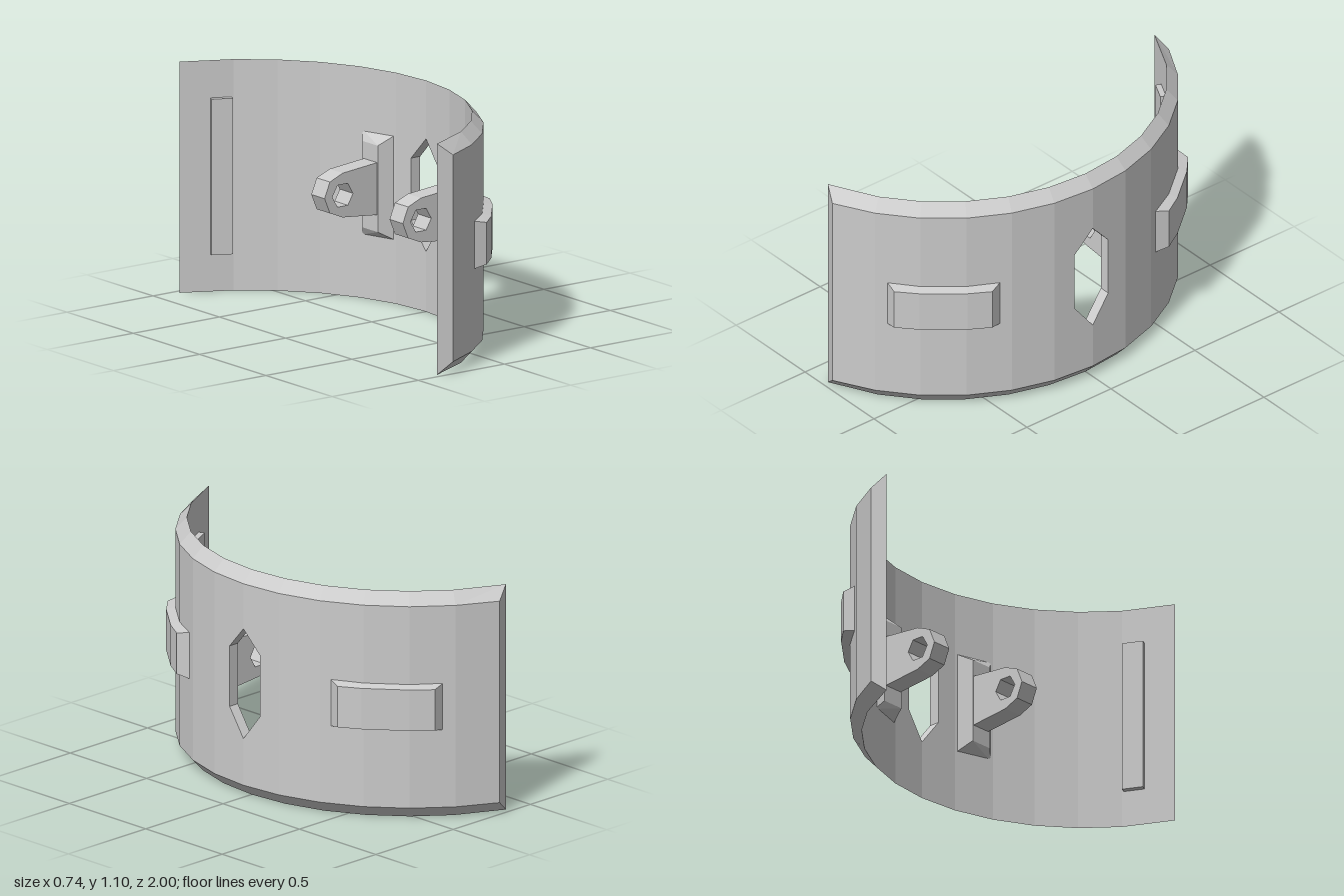
import * as THREE from 'three';
import { ConvexGeometry } from 'three/addons/geometries/ConvexGeometry.js';

const CX = -0.717;                 // centre of the curve in plan
const STEP = 11.23;                // degrees per facet
const H = 1.097, MID = H / 2;
const material = new THREE.MeshStandardMaterial({ color: 0xcccccc, flatShading: true });

const arc = (r, deg, y) => {
  const a = THREE.MathUtils.degToRad(deg);
  return new THREE.Vector3(CX + r * Math.cos(a), y, r * Math.sin(a));
};

// Curved slab with sloped borders: an outer and an inner skin, each {r, angles, y:[bottom, top]}.
// hole lists half of an opening around angle 0, bottom to top, as [z, y].
function curvedPanel(outer, inner, hole) {
  const pos = [];
  const quad = (a, b, c, d, flip = false) => {
    const order = flip ? [a, c, b, a, d, c] : [a, b, c, a, c, d];
    order.forEach(p => pos.push(p.x, p.y, p.z));
  };
  const at = (skin, i, k) => arc(skin.r, skin.angles[i], skin.y[k]);
  const n = outer.angles.length - 1;

  // Facet next to the centre line, cut around half of the opening
  const cutFacet = (i) => {
    const s = outer.angles[i] === 0 ? 1 : -1;
    const near = s > 0 ? i : i + 1, far = s > 0 ? i + 1 : i;
    const rims = [outer, inner].map(skin => {
      const n0 = at(skin, near, 0), n1 = at(skin, near, 1);
      const f0 = at(skin, far, 0), f1 = at(skin, far, 1);
      const rim = hole.map(([z, y]) =>
        new THREE.Vector3(THREE.MathUtils.lerp(n0.x, f0.x, z * s / f0.z), y, z * s));
      const flip = (s > 0) === (skin === outer);
      quad(f0, f1, rim[2], rim[1], flip);
      quad(f1, n1, rim[3], rim[2], flip);
      quad(n0, f0, rim[1], rim[0], flip);
      return rim;
    });
    for (let k = 0; k < 3; k++) quad(rims[0][k], rims[1][k], rims[1][k + 1], rims[0][k + 1], s < 0);
  };

  for (let i = 0; i < n; i++) {
    const [o0, o1, p0, p1] = [at(outer, i, 0), at(outer, i, 1), at(outer, i + 1, 0), at(outer, i + 1, 1)];
    const [a0, a1, b0, b1] = [at(inner, i, 0), at(inner, i, 1), at(inner, i + 1, 0), at(inner, i + 1, 1)];
    if (hole && (outer.angles[i] === 0 || outer.angles[i + 1] === 0)) cutFacet(i);
    else {
      quad(p0, o0, o1, p1);
      quad(a0, b0, b1, a1);
    }
    quad(p1, o1, a1, b1);
    quad(b0, a0, o0, p0);
    if (i === 0) quad(o0, a0, a1, o1);
    if (i === n - 1) quad(b0, p0, p1, b1);
  }
  const geometry = new THREE.BufferGeometry();
  geometry.setAttribute('position', new THREE.Float32BufferAttribute(pos, 3));
  geometry.computeVertexNormals();
  return geometry;
}

// Tapered arm with a rounded eye and a six-sided hole
function armGeometry() {
  const eyeX = 0.02, r = 0.105;
  const shape = new THREE.Shape();
  shape.moveTo(0.23, -0.125);
  shape.lineTo(0.23, 0.125);
  for (let k = 2; k <= 6; k++) {
    const a = k * Math.PI / 4;
    shape.lineTo(eyeX + r * Math.cos(a), r * Math.sin(a));
  }
  shape.closePath();
  const eye = new THREE.Path();
  for (let k = 0; k < 6; k++) {
    const a = -k * Math.PI / 3;
    const p = [eyeX + 0.06 * Math.cos(a), 0.06 * Math.sin(a)];
    if (k) eye.lineTo(...p); else eye.moveTo(...p);
  }
  eye.closePath();
  shape.holes.push(eye);
  return new THREE.ExtrudeGeometry(shape, { depth: 0.1, bevelEnabled: false }).translate(0, MID, -0.05);
}

export function createModel() {
  const model = new THREE.Group();
  const add = (name, geometry, parent = model) => {
    const mesh = new THREE.Mesh(geometry, material);
    mesh.name = name;
    parent.add(mesh);
    return mesh;
  };

  // Main curved plate with a pointed opening at the centre
  const angles = Array.from({ length: 13 }, (_, i) => (i - 6) * STEP);
  const innerAngles = angles.map(a => Math.abs(a) > 67 ? Math.sign(a) * 70.3 : a);
  add('curvedPlate', curvedPanel(
    { r: 1.085, angles, y: [0.058, H - 0.058] },
    { r: 1.032, angles: innerAngles, y: [0, H] },
    [[0, 0.285], [0.1, 0.415], [0.1, 0.71], [0, 0.82]]));

  for (const s of [1, -1]) {
    const side = s > 0 ? 'front' : 'back';
    const ordered = list => s > 0 ? list : list.map(a => -a).reverse();

    // Raised pad on the outside
    add(side + 'Pad', curvedPanel(
      { r: 1.127, angles: ordered([27.8, 3 * STEP, 4 * STEP, 50.9]), y: [0.449, 0.648] },
      { r: 1.078, angles: ordered([25.2, 3 * STEP, 4 * STEP, 53.2]), y: [0.435, 0.662] }));

    // Upright strip on the inside near the end
    const strip = add(side + 'Strip', new THREE.BoxGeometry(0.1, 0.74, 0.04));
    strip.position.set(-0.198, MID, s * 0.877);
    strip.rotation.y = s * 0.462;

    // Hinge bracket: sloped mount against the wall and an arm with an eye
    const bracket = new THREE.Group();
    bracket.name = side + 'Bracket';
    model.add(bracket);
    const corners = [];
    for (const v of [1, -1]) {
      for (const [x, z, h] of [[0.3, 0.21, 0.25], [0.247, 0.39, 0.25], [0.22, 0.24, 0.205], [0.22, 0.355, 0.205]]) {
        corners.push(new THREE.Vector3(x, MID + v * h, s * z));
      }
    }
    add(side + 'BracketMount', new ConvexGeometry(corners), bracket);
    add(side + 'BracketArm', armGeometry(), bracket).position.z = s * 0.295;
  }
  return model;
}
